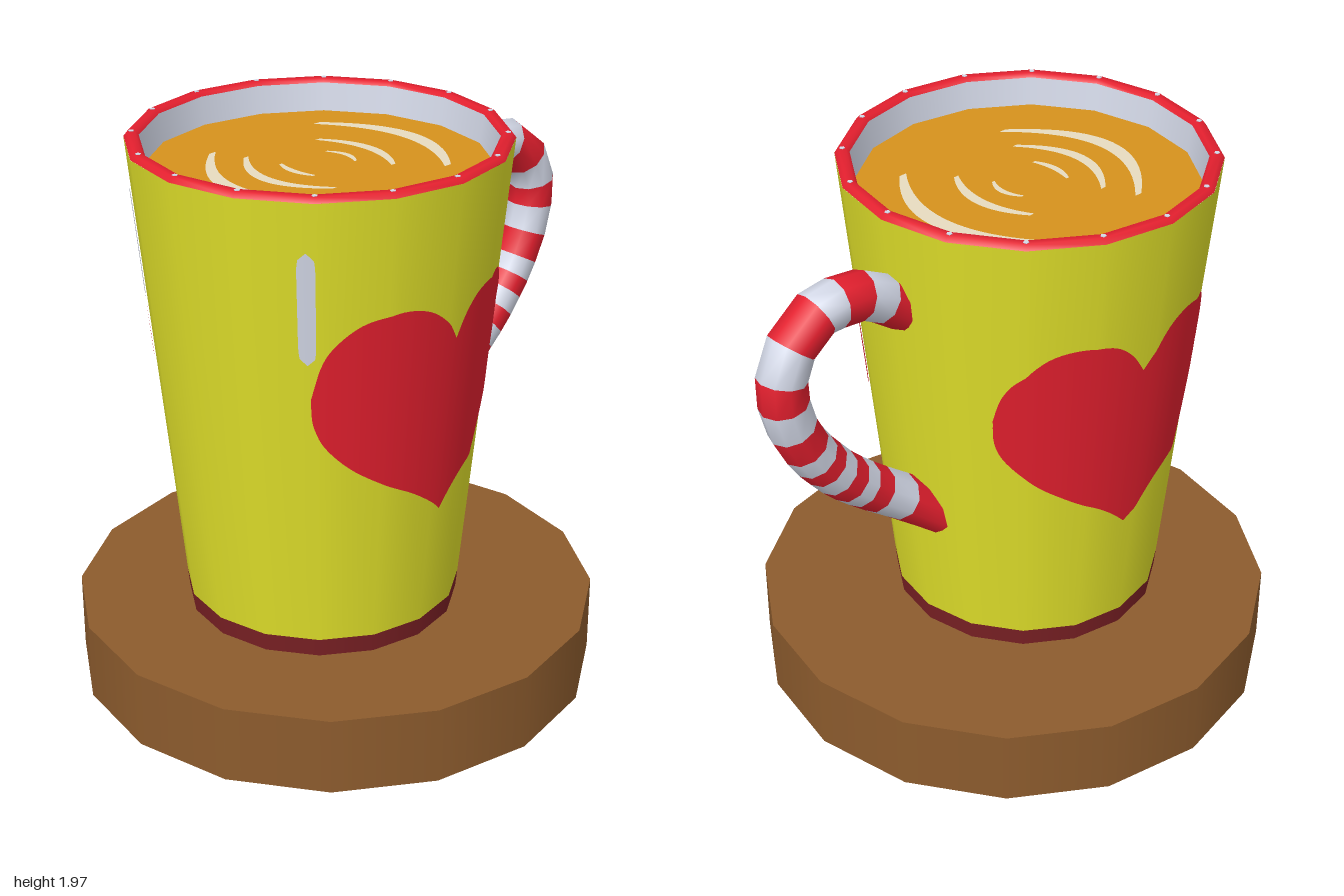
import * as THREE from 'three';

const SIDES = 16, MUG_X = -0.148, Y0 = 0.275, Y1 = 1.97;
const radiusAt = (y) => 0.475 + 0.165 * (y - Y0) / (Y1 - Y0);

const material = (name, color) => {
  const m = new THREE.MeshStandardMaterial({ color });
  m.name = name;
  return m;
};

function buildGeometry(positions, indices, normals) {
  const g = new THREE.BufferGeometry();
  g.setAttribute('position', new THREE.Float32BufferAttribute(positions, 3));
  g.setIndex(indices);
  if (normals) g.setAttribute('normal', new THREE.Float32BufferAttribute(normals, 3));
  else g.computeVertexNormals();
  return g;
}

// Depth of the 16-sided mug wall at sideways offset x and height y
function wallDepth(x, y) {
  const r = radiusAt(y), step = 2 * Math.PI / SIDES;
  const k = Math.floor(Math.acos(THREE.MathUtils.clamp(x / r, -1, 1)) / step);
  const a = k * step, b = a + step;
  const t = (x / r - Math.cos(a)) / (Math.cos(b) - Math.cos(a));
  return r * THREE.MathUtils.lerp(Math.sin(a), Math.sin(b), t);
}

// Painted patch that follows the mug wall; at(u, v) gives [x, y], side is +1 front or -1 back
function wallPatch(at, nu, nv, side) {
  const pos = [], nor = [], idx = [];
  for (let i = 0; i <= nu; i++) {
    for (let j = 0; j <= nv; j++) {
      const [x, y] = at(i / nu, j / nv);
      const z = wallDepth(x, y);
      const n = new THREE.Vector3(x, -0.097 * radiusAt(y), z * side).normalize();
      pos.push(x + n.x * 0.006, y + n.y * 0.006, z * side + n.z * 0.006);
      nor.push(n.x, n.y, n.z);
      if (i < nu && j < nv) {
        const a = i * (nv + 1) + j, b = a + nv + 1;
        if (side > 0) idx.push(a, b, b + 1, a, b + 1, a + 1);
        else idx.push(a, b + 1, b, a, a + 1, b + 1);
      }
    }
  }
  return buildGeometry(pos, idx, nor);
}

// Heart outline: upper and lower edge of one half
const half = [0, 0.05, 0.12, 0.215, 0.31, 0.38, 0.41, 0.42];
const edge = (ys) => new THREE.SplineCurve(half.map((x, i) => new THREE.Vector2(x, ys[i])));
const heartTop = edge([1.41, 1.485, 1.54, 1.56, 1.535, 1.46, 1.38, 1.28]);
const heartBottom = edge([0.77, 0.82, 0.875, 0.935, 1.01, 1.1, 1.18, 1.28]);
function heartPoint(u, v) {
  const s = u * 2 - 1;
  const p = heartBottom.getPoint(Math.abs(s)).lerp(heartTop.getPoint(Math.abs(s)), v);
  return [0.043 + p.x * (s < 0 ? -1.09 : 1), p.y];
}

// Round-ended light streak running up the wall
function streakPoint(u, v) {
  const y = 1.4 + 0.39 * v;
  const w = 0.054 * Math.sqrt(1 - (2 * v - 1) ** 10);
  return [radiusAt(y) * (-0.733 + w * (u - 0.5)), y];
}

// Striped handle: one ring of points at each stripe boundary
const handlePath = [
  [0.41, 1.61], [0.50, 1.675], [0.59, 1.723], [0.69, 1.735], [0.765, 1.728], [0.868, 1.65],
  [0.912, 1.55], [0.91, 1.46], [0.883, 1.36], [0.838, 1.27], [0.80, 1.21], [0.76, 1.16],
  [0.715, 1.105], [0.665, 1.055], [0.615, 1.01], [0.553, 0.958], [0.46, 0.885], [0.32, 0.77],
];
function handleGeometry() {
  const n = 10, r = 0.083, last = handlePath.length - 1, pos = [], idx = [];
  handlePath.forEach(([x, y], i) => {
    const p = handlePath[Math.max(i - 1, 0)], q = handlePath[Math.min(i + 1, last)];
    const d = new THREE.Vector2(q[0] - p[0], q[1] - p[1]).normalize();
    const flare = 1 + 0.65 * Math.max(0, (0.56 - x) / 0.24) ** 1.3 * (y < 1.2 ? 1 : 0); // wider foot
    for (let j = 0; j < n; j++) {
      const a = j / n * 2 * Math.PI, s = Math.cos(a) * r;
      pos.push(x - d.y * s, y + d.x * s, Math.sin(a) * r * flare);
      if (i < last) {
        const A = i * n + j, B = i * n + (j + 1) % n;
        idx.push(A, B, B + n, A, B + n, A + n);
      }
    }
  });
  const g = buildGeometry(pos, idx);
  for (let i = 0; i < last; i++) g.addGroup(i * n * 6, n * 6, i % 2);
  return g;
}

// Tapered foam crescent lying on the drink
function foamGeometry(mid, end, reach, width) {
  const n = 20, pos = [], idx = [];
  for (let i = 0; i <= n; i++) {
    const t = i / n * 2 - 1, x = mid + (end - mid) * t * t;
    const w = width * (1 - 0.5 * t * t) / 2;
    pos.push(x - w, 0, t * reach, x + w, 0, t * reach);
    if (i < n) {
      const a = i * 2;
      idx.push(a, a + 2, a + 1, a + 1, a + 2, a + 3);
    }
  }
  return buildGeometry(pos, idx);
}

export function createModel() {
  const wood = material('wood', 0x8c5b2d);
  wood.side = THREE.DoubleSide; // the stand is an open shell underneath
  const yellow = material('yellow glaze', 0xe0e02a);
  const red = material('red', 0xe31f2e);
  const darkRed = material('dark red', 0x7a2024);
  const white = material('soft white', 0xd4d9e8);
  const drink = material('drink', 0xd6921c);
  const foam = material('foam', 0xe8dcc0);

  const model = new THREE.Group();
  const mug = new THREE.Group();
  mug.name = 'mug';
  mug.position.x = MUG_X;
  model.add(mug);
  const add = (parent, name, geometry, mat, x = 0, y = 0, z = 0) => {
    const mesh = new THREE.Mesh(geometry, mat);
    mesh.name = name;
    mesh.position.set(x, y, z);
    parent.add(mesh);
    return mesh;
  };
  const lathe = (points) =>
    new THREE.LatheGeometry(points.map(([x, y]) => new THREE.Vector2(x, y)), SIDES);

  // Round wooden stand, hollow from below
  add(model, 'standSide', new THREE.CylinderGeometry(0.917, 0.917, Y0, SIDES, 1, true), wood, -0.083, Y0 / 2);
  add(model, 'standTop', new THREE.CircleGeometry(0.917, SIDES).rotateX(-Math.PI / 2), wood, -0.083, Y0);

  // Mug wall, foot band, bevelled rim and lining
  add(mug, 'wall', lathe([[radiusAt(0.34), 0.34], [radiusAt(1.953), 1.953]]), yellow);
  add(mug, 'footBand', lathe([[radiusAt(Y0), Y0], [radiusAt(0.34), 0.34]]), darkRed);
  add(mug, 'rim', lathe([[0.638, 1.953], [0.625, 1.97], [0.6, 1.97], [0.588, 1.957]]), red);
  add(mug, 'lining', lathe([[0.589, 1.958], [0.573, 1.85]]), white);

  // Tiny studs along the rim
  for (let i = 0; i < SIDES; i++) {
    const a = i / SIDES * 2 * Math.PI;
    add(mug, 'rimStud', new THREE.CylinderGeometry(0.01, 0.01, 0.004, 5), white,
      0.612 * Math.cos(a), 1.97, 0.612 * Math.sin(a));
  }

  // Drink with foam crescents
  add(mug, 'drink', new THREE.CylinderGeometry(0.575, 0.56, 0.04, SIDES), drink, 0, 1.84);
  const crescents = [
    [-0.368, -0.185, 0.32, 0.055], [-0.235, -0.135, 0.21, 0.04], [-0.118, -0.1, 0.08, 0.025],
    [0.412, 0.28, 0.31, 0.058], [0.222, 0.16, 0.18, 0.038], [0.12, 0.095, 0.07, 0.022],
  ];
  for (const c of crescents) add(mug, 'foamCrescent', foamGeometry(...c), foam, 0, 1.864);

  // Heart and light streak on front and back
  for (const side of [1, -1]) {
    add(mug, side > 0 ? 'frontHeart' : 'backHeart', wallPatch(heartPoint, 72, 10, side), red);
    add(mug, side > 0 ? 'frontStreak' : 'backStreak', wallPatch(streakPoint, 4, 16, side), white);
  }

  // Striped handle
  add(model, 'handle', handleGeometry(), [red, white]);
  return model;
}
